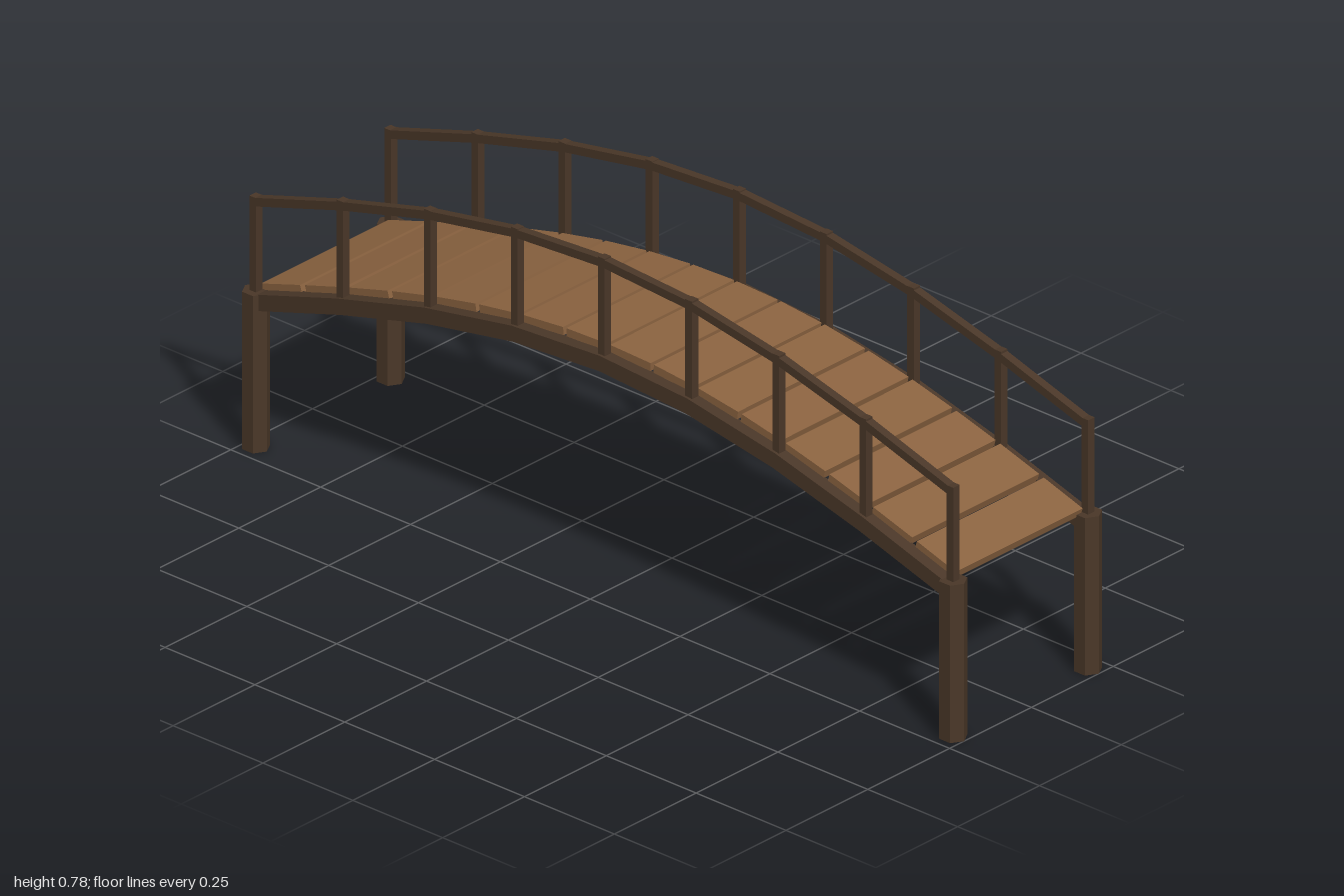
import * as THREE from 'three';

export function createModel() {
  const bridge = new THREE.Group();
  bridge.name = 'archedFootbridge';

  const darkWood = new THREE.MeshStandardMaterial({ color: 0x4a3728 });
  darkWood.name = 'darkWood';
  const plankWood = new THREE.MeshStandardMaterial({ color: 0x8b6340 });
  plankWood.name = 'plankWood';

  const HALF = 0.97, BASE = 0.364, RISE = 0.194, SIDE_Z = 0.206;
  const SPANS = 8, PLANKS = 16;

  // Height of the walkway arch at t = 0..1 along the bridge
  const xAt = (t) => (t * 2 - 1) * HALF;
  const archY = (t) => BASE + RISE * Math.sin(Math.PI * t);

  function add(parent, name, geometry, material, x, y, z, tilt = 0) {
    const mesh = new THREE.Mesh(geometry, material);
    mesh.name = name;
    mesh.position.set(x, y, z);
    mesh.rotation.z = tilt;
    parent.add(mesh);
  }

  // Straight bars that follow the arch at a vertical offset
  function archBars(parent, name, offset, height, depth, z) {
    for (let i = 0; i < SPANS; i++) {
      const a = i / SPANS, b = (i + 1) / SPANS;
      const dx = xAt(b) - xAt(a), dy = archY(b) - archY(a);
      add(parent, name, new THREE.BoxGeometry(Math.hypot(dx, dy) + 0.004, height, depth), darkWood,
        (xAt(a) + xAt(b)) / 2, (archY(a) + archY(b)) / 2 + offset, z, Math.atan2(dy, dx));
    }
  }

  // Deck planks, tilted along the arch
  const deck = new THREE.Group();
  deck.name = 'deck';
  bridge.add(deck);
  const plank = new THREE.BoxGeometry(0.113, 0.0185, 0.388);
  for (let i = 0; i < PLANKS; i++) {
    const t = (i + 0.5) / PLANKS;
    const slope = RISE * Math.PI * Math.cos(Math.PI * t) / (2 * HALF);
    add(deck, 'plank', plank, plankWood, xAt(t), archY(t), 0, Math.atan(slope));
  }

  // Hexagonal corner post with a corner pointing along x
  const post = new THREE.CylinderGeometry(0.0303, 0.0303, BASE, 6, 1, false, Math.PI / 2).toNonIndexed();
  post.computeVertexNormals();

  for (const side of [1, -1]) {
    const z = side * SIDE_Z;
    const frame = new THREE.Group();
    frame.name = side > 0 ? 'frontSide' : 'backSide';
    bridge.add(frame);

    archBars(frame, 'supportBeam', -0.024, 0.036, 0.032, z);
    archBars(frame, 'handrail', 0.206, 0.019, 0.0195, z);

    // Balusters rise from inside the beam to just above the handrail
    const baluster = new THREE.BoxGeometry(0.0185, 0.238, 0.0195);
    for (let i = 0; i <= SPANS; i++) {
      add(frame, 'baluster', baluster, darkWood, xAt(i / SPANS), archY(i / SPANS) + 0.099, z);
    }
    for (const end of [1, -1]) {
      add(frame, 'cornerPost', post, darkWood, end * HALF, BASE / 2, z);
    }
  }
  return bridge;
}
